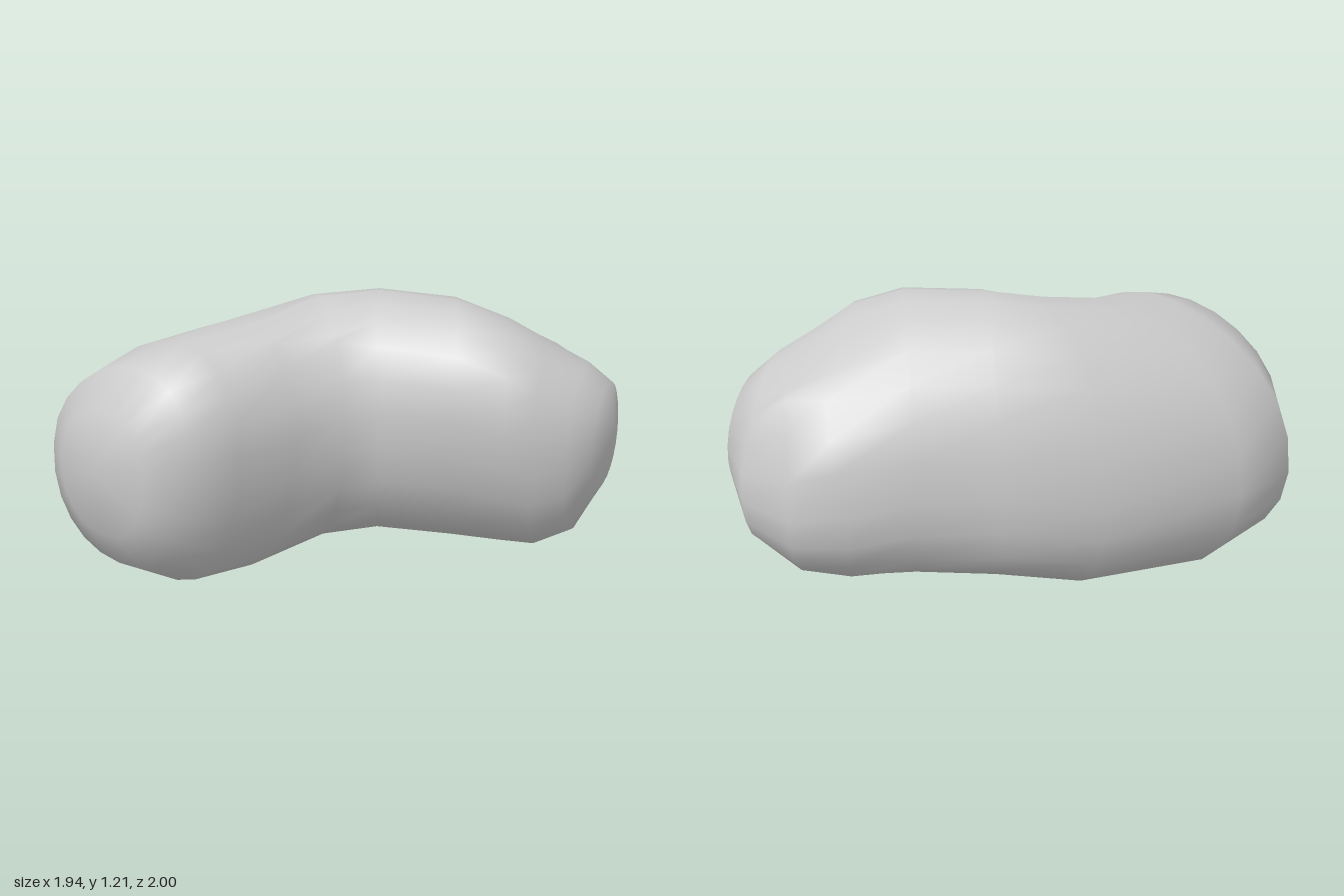
import * as THREE from 'three';

const SIDES = 24;

// Cross-sections along the bent body:
// [inner x, inner z, outer x, outer z, bottom y, top y, bottom lean, top lean]
const SECTIONS = [
  [-0.93, -0.2, -0.91, -0.68, 0.36, 0.88, 0.05, 0.2],
  [-0.82, -0.04, -0.8, -0.86, 0.18, 1.04, 0.08, 0.33],
  [-0.64, 0.02, -0.52, -1.0, 0.03, 1.09, 0.1, 0.4],
  [-0.38, 0.09, -0.2, -0.9, 0.0, 1.12, 0.15, 0.37],
  [-0.19, 0.18, 0.31, -0.52, 0.06, 1.18, 0.32, 0.2],
  [-0.15, 0.32, 0.53, -0.19, 0.11, 1.21, 0.36, 0.15],
  [-0.05, 0.61, 0.71, 0.08, 0.12, 1.2, 0.3, 0.25],
  [0.02, 0.78, 0.9, 0.27, 0.12, 1.13, 0.22, 0.38],
  [0.1, 0.86, 0.97, 0.48, 0.13, 1.04, 0.15, 0.38],
  [0.22, 0.94, 0.94, 0.72, 0.22, 0.95, 0.1, 0.3],
  [0.34, 0.99, 0.83, 0.87, 0.42, 0.87, 0.1, 0.2],
];
const BACK_TIP = [-0.97, 0.65, -0.43];
const FRONT_TIP = [0.52, 0.7, 1.0];

// Raised corners and their reach: outer side of the front lobe, then the inner bend
const CORNERS = [
  [new THREE.Vector3(0.87, 0.92, 0.55), 0.2],
  [new THREE.Vector3(0.95, 0.73, 0.33), 0.12],
  [new THREE.Vector3(-0.14, 1.08, 0.1), 0.12],
  [new THREE.Vector3(-0.34, 1.07, -0.06), 0.12],
];

function sectionPoint([ix, iz, ox, oz, y0, y1, leanBottom, leanTop], j) {
  const a = (j / SIDES) * Math.PI * 2;
  const up = Math.sin(a);
  // fuller than an ellipse below, round above
  const full = (v) => 0.5 + 0.5 * Math.sign(v) * Math.abs(v) ** (0.93 + 0.05 * up);
  const lean = THREE.MathUtils.lerp(leanBottom, leanTop, 0.5 + 0.5 * up);
  const u = full(Math.cos(a + lean));
  const v = full(up);
  const p = new THREE.Vector3(ix + (ox - ix) * u, y0 + (y1 - y0) * v, iz + (oz - iz) * u);
  // pull nearby points towards the raised corners
  for (const [corner, reach] of CORNERS) {
    p.lerp(corner, Math.exp(-((p.distanceTo(corner) / reach) ** 2)));
  }
  return p;
}

function bodyGeometry() {
  const positions = [];
  const index = [];
  for (const s of SECTIONS) {
    for (let j = 0; j < SIDES; j++) positions.push(...sectionPoint(s, j).toArray());
  }
  const back = positions.length / 3;
  const front = back + 1;
  positions.push(...BACK_TIP, ...FRONT_TIP);

  const last = SECTIONS.length - 1;
  const at = (i, j) => i * SIDES + (j % SIDES);
  for (let j = 0; j < SIDES; j++) {
    index.push(back, at(0, j + 1), at(0, j));
    for (let i = 0; i < last; i++) {
      index.push(at(i, j), at(i, j + 1), at(i + 1, j));
      index.push(at(i, j + 1), at(i + 1, j + 1), at(i + 1, j));
    }
    index.push(front, at(last, j), at(last, j + 1));
  }

  const geometry = new THREE.BufferGeometry();
  geometry.setAttribute('position', new THREE.Float32BufferAttribute(positions, 3));
  geometry.setIndex(index);
  geometry.computeVertexNormals();
  return geometry;
}

export function createModel() {
  const group = new THREE.Group();
  group.name = 'bean';
  const body = new THREE.Mesh(bodyGeometry(), new THREE.MeshStandardMaterial({ color: 0xcccccc }));
  body.name = 'body';
  group.add(body);
  return group;
}
